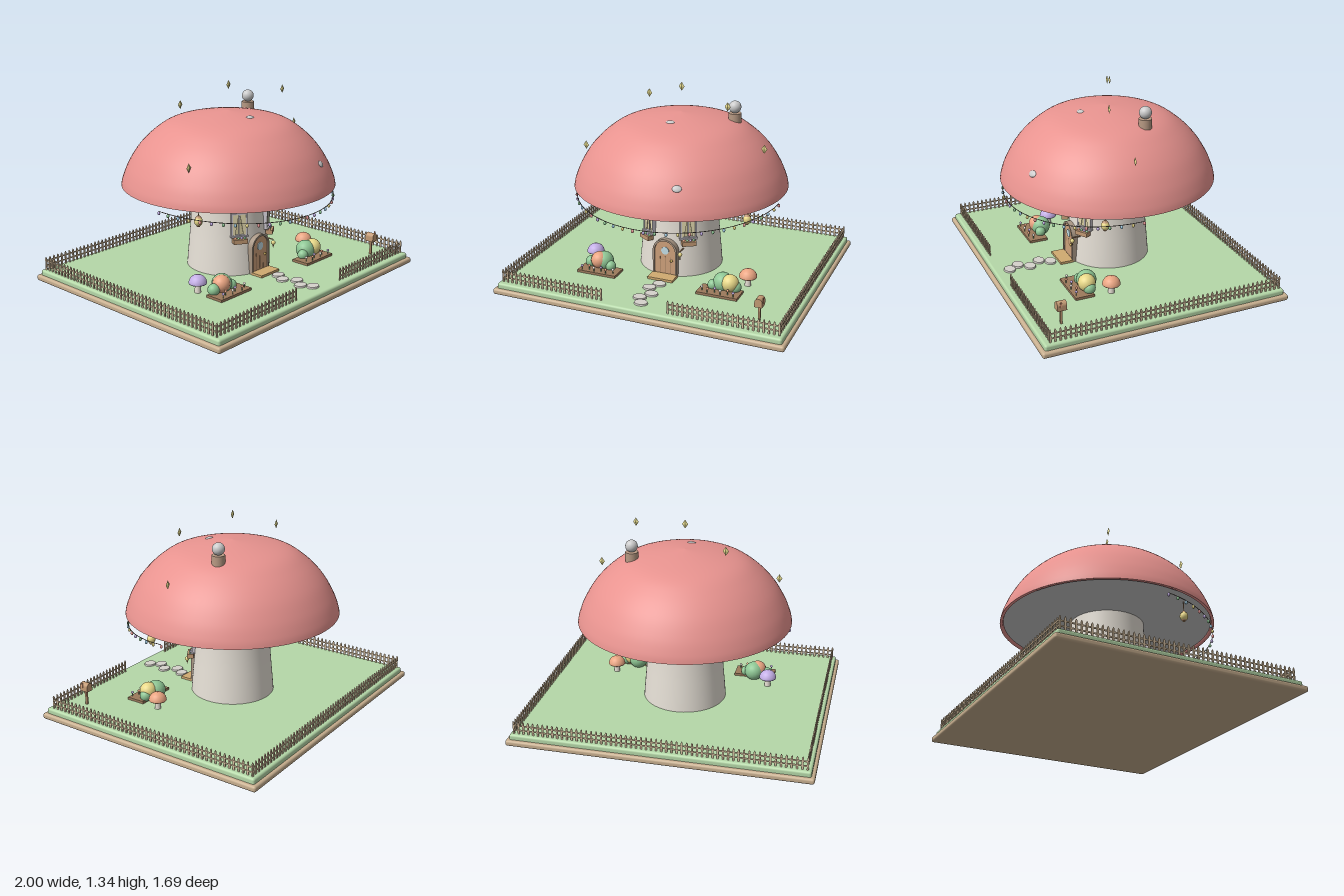
import * as THREE from 'three';
import { mergeGeometries } from 'three/addons/utils/BufferGeometryUtils.js';
import { RoundedBoxGeometry } from 'three/addons/geometries/RoundedBoxGeometry.js';

const WOOD = 0xc39a74, FENCE = 0xd8c0a0, GREEN = 0x8fc795, YELLOW = 0xe8d888, ORANGE = 0xeaa582, PURPLE = 0xc3aee6;
const GROUND = 0.075;

function mat(color = 0xcccccc, options = {}) {
  return new THREE.MeshStandardMaterial({ color, ...options });
}

function add(parent, name, geometry, color, x = 0, y = 0, z = 0, options) {
  const mesh = new THREE.Mesh(geometry, mat(color, options));
  mesh.name = name;
  mesh.position.set(x, y, z);
  parent.add(mesh);
  return mesh;
}

function group(parent, name, x = 0, y = 0, z = 0) {
  const g = new THREE.Group();
  g.name = name;
  g.position.set(x, y, z);
  parent.add(g);
  return g;
}

const box = (w, h, d) => new THREE.BoxGeometry(w, h, d);
const ball = (r, n = 20) => new THREE.SphereGeometry(r, n, Math.ceil(n * 0.7));
const cyl = (top, bottom, h, n = 20) => new THREE.CylinderGeometry(top, bottom, h, n);
const lathe = (pts, n = 64) => new THREE.LatheGeometry(pts.map(([x, y]) => new THREE.Vector2(x, y)), n);

// Arched outline standing on y = 0
function arch(halfWidth, straight) {
  const s = new THREE.Shape();
  s.moveTo(-halfWidth, 0);
  s.lineTo(halfWidth, 0);
  s.lineTo(halfWidth, straight);
  s.absarc(0, straight, halfWidth, 0, Math.PI, false);
  s.lineTo(-halfWidth, 0);
  return s;
}

const extrude = (shape, depth) => new THREE.ExtrudeGeometry(shape, { depth, bevelEnabled: false, curveSegments: 20 });

// One straight run of picket fence between two ground points
function fenceRun(parent, x0, z0, x1, z1) {
  const length = Math.hypot(x1 - x0, z1 - z0);
  const count = Math.round(length / 0.033);
  const picket = new THREE.Shape();
  picket.moveTo(-0.006, 0);
  picket.lineTo(0.006, 0);
  picket.lineTo(0.006, 0.077);
  picket.lineTo(0, 0.088);
  picket.lineTo(-0.006, 0.077);
  const parts = [];
  for (let i = 0; i <= count; i++) {
    parts.push(extrude(picket, 0.007).translate(-length / 2 + length * i / count, 0, -0.0035).toNonIndexed?.() ?? null);
  }
  for (const y of [0.028, 0.06]) parts.push(box(length, 0.009, 0.005).toNonIndexed().translate(0, y, -0.004));
  const run = add(parent, 'fenceRun', mergeGeometries(parts), FENCE, (x0 + x1) / 2, GROUND, (z0 + z1) / 2);
  run.rotation.y = -Math.atan2(z1 - z0, x1 - x0);
}

// Window with frame, curtains and planter, turned to sit on the round wall
function addWindow(parent, side) {
  const g = group(parent, 'window', 0, 0.425, 0);
  g.rotation.y = side * 0.56;
  const frame = new THREE.Shape([[-0.055, -0.08], [0.055, -0.08], [0.055, 0.08], [-0.055, 0.08]].map(p => new THREE.Vector2(...p)));
  frame.holes.push(new THREE.Path([[-0.045, -0.07], [-0.045, 0.07], [0.045, 0.07], [0.045, -0.07]].map(p => new THREE.Vector2(...p))));
  add(g, 'windowFrame', extrude(frame, 0.04), 0xcfcad2, 0, 0, 0.235);
  add(g, 'windowPane', box(0.09, 0.14, 0.012), 0xd9cfa0, 0, 0, 0.254);
  add(g, 'windowBar', box(0.006, 0.14, 0.008), 0xcfcad2, 0, 0, 0.263);
  for (const s of [-1, 1]) {
    const curtain = new THREE.Shape([[0.045, 0.07], [0.004, 0.07], [0.028, -0.07], [0.045, -0.07]].map(([x, y]) => new THREE.Vector2(s * x, y)));
    add(g, 'curtain', extrude(curtain, 0.006), 0xe9dfb4, 0, 0, 0.264);
  }
  add(g, 'windowSill', box(0.12, 0.01, 0.045), 0xcfcad2, 0, -0.08, 0.262);
  add(g, 'planter', box(0.095, 0.03, 0.045), WOOD, 0, -0.107, 0.287);
  for (let i = 0; i < 4; i++) add(g, 'planterFlower', ball(0.009, 10), [ORANGE, GREEN, PURPLE, GREEN][i], -0.033 + i * 0.022, -0.089, 0.288);
}

function toadstool(parent, x, z, r, top, color) {
  const g = group(parent, 'toadstool', x, GROUND, z);
  const h = top - GROUND;
  add(g, 'toadstoolStem', cyl(r * 0.28, r * 0.36, h - r * 0.7, 16), 0xe8e0d5, 0, (h - r * 0.7) / 2, 0);
  add(g, 'toadstoolCap', lathe([[0, 0], [0.95, 0], [1, 0.08], [0.92, 0.4], [0.71, 0.71], [0.38, 0.92], [0, 1]].map(([a, b]) => [a * r, b * r]), 28),
    color, 0, h - r, 0);
}

// Soil bed with bushes and small flowers
function flowerBed(parent, side, domeColor, domeX) {
  const g = group(parent, 'flowerBed');
  add(g, 'soil', box(0.28, 0.018, 0.13), 0x9c7a5c, side * 0.43, GROUND + 0.008, 0.4);
  for (const [x, y, z, r] of [[0.43, 0.128, 0.335, 0.066], [0.52, 0.115, 0.35, 0.04], [0.37, 0.11, 0.36, 0.036]]) {
    add(g, 'bush', ball(r), GREEN, side * x, y, z);
  }
  add(g, 'bushDome', ball(0.058, 24), domeColor, side * domeX, 0.138, 0.355);
  for (let i = 0; i < 6; i++) {
    const x = side * (0.32 + i * 0.044), z = 0.43 + (i % 2) * 0.02;
    add(g, 'flowerStem', cyl(0.003, 0.003, 0.035, 6), GREEN, x, 0.1, z);
    add(g, 'flower', ball(0.009, 10), [0xf0e8e0, ORANGE, PURPLE][i % 3], x, 0.12, z);
  }
}

export function createModel() {
  const model = new THREE.Group();
  model.name = 'mushroomHouse';

  // Ground
  add(model, 'baseSlab', new RoundedBoxGeometry(2, 0.04, 1.69, 3, 0.015), 0xc9b090, 0, 0.02, 0);
  add(model, 'lawn', new RoundedBoxGeometry(1.955, 0.05, 1.645, 3, 0.015), 0xb5d8a8, 0, 0.05, 0);

  // Fence with a gap for the path
  const fence = group(model, 'fence');
  fenceRun(fence, -0.95, 0.78, -0.23, 0.78);
  fenceRun(fence, 0.23, 0.78, 0.95, 0.78);
  fenceRun(fence, -0.95, -0.795, 0.95, -0.795);
  for (const x of [-0.95, 0.95]) fenceRun(fence, x, -0.795, x, 0.78);

  // Stem walls and cap roof
  add(model, 'stemWall', lathe([[0.285, 0.06], [0.278, 0.15], [0.266, 0.28], [0.256, 0.4], [0.25, 0.52], [0.247, 0.67]]), 0xe6e0d6);
  const profile = new THREE.SplineCurve([[0.72, 0.65], [0.708, 0.7], [0.67, 0.79], [0.6, 0.9], [0.5, 1.0], [0.38, 1.075], [0.2, 1.117], [0, 1.14]]
    .map(p => new THREE.Vector2(...p)));
  add(model, 'capRoof', new THREE.LatheGeometry(profile.getPoints(36), 80), 0xe8938f);
  add(model, 'capRim', lathe([[0.695, 0.665], [0.7, 0.65], [0.72, 0.65]], 80), 0xe8938f, 0, 0, 0, { side: THREE.DoubleSide });
  add(model, 'capUnderside', new THREE.CircleGeometry(0.705, 80).rotateX(Math.PI / 2), 0xcccccc, 0, 0.662, 0);
  for (const [x, y, z, tilt] of [[0, 1.117, 0.19, 0.15], [0.22, 0.835, 0.605, 0.95]]) {
    const spot = add(model, 'capSpot', ball(0.03).scale(1, 0.3, 0.75), 0xcccccc, x, y, z);
    spot.rotation.set(tilt, Math.atan2(x, z), 0, 'YXZ');
  }

  // Chimney with a puff of smoke
  add(model, 'chimney', cyl(0.043, 0.043, 0.1, 24), 0xb89a84, 0.33, 1.085, -0.12);
  add(model, 'smokePuff', ball(0.041, 28), 0xcccccc, 0.33, 1.175, -0.12);

  // Door
  const door = group(model, 'door', 0, GROUND, 0);
  const frame = arch(0.087, 0.175);
  frame.holes.push(arch(0.074, 0.175));
  add(door, 'doorFrame', extrude(frame, 0.07), 0xa89684, 0, 0, 0.225);
  add(door, 'doorPanel', extrude(arch(0.075, 0.175), 0.06), 0xcfa27c, 0, 0, 0.225);
  for (const x of [-0.037, 0, 0.037]) add(door, 'doorGroove', box(0.002, 0.13, 0.002), 0x9c7a5c, x, 0.07, 0.285);
  add(door, 'doorWindow', cyl(0.027, 0.027, 0.008, 28).rotateX(Math.PI / 2), 0xc4dfe8, 0, 0.18, 0.286);
  add(door, 'doorKnob', ball(0.009, 12), 0xd8b860, 0.047, 0.113, 0.29);
  add(door, 'doorStep', box(0.18, 0.016, 0.09), 0xd0aa70, 0, 0.008, 0.335);
  add(door, 'porchBracket', box(0.006, 0.006, 0.06), WOOD, 0.115, 0.2, 0.275);
  add(door, 'porchLamp', ball(0.015, 16), YELLOW, 0.115, 0.178, 0.305);
  add(door, 'porchLampDrop', cyl(0.006, 0.002, 0.026, 10), WOOD, 0.115, 0.155, 0.305);

  for (const side of [-1, 1]) addWindow(model, side);

  // Garden
  flowerBed(model, -1, ORANGE, 0.455);
  flowerBed(model, 1, YELLOW, 0.485);
  toadstool(model, -0.545, 0.235, 0.06, 0.195, PURPLE);
  toadstool(model, 0.56, 0.215, 0.06, 0.193, ORANGE);
  [[0.02, 0.43], [-0.02, 0.5], [0.03, 0.58], [-0.02, 0.65], [0.02, 0.72]].forEach(([x, z]) =>
    add(model, 'steppingStone', cyl(0.043, 0.046, 0.012, 20).scale(1, 1, 0.85), 0xd6d2cc, x, GROUND + 0.005, z));

  // Mailbox
  const mailbox = group(model, 'mailbox', 0.78, GROUND, 0.645);
  add(mailbox, 'mailboxPost', box(0.014, 0.11, 0.014), WOOD, 0, 0.055, 0);
  add(mailbox, 'mailboxBody', extrude(arch(0.025, 0.032), 0.062), WOOD, 0, 0.1, -0.031);
  add(mailbox, 'mailboxFlag', box(0.004, 0.035, 0.01), ORANGE, 0.027, 0.145, 0.01);

  // String of lights around the front of the cap
  const garland = group(model, 'stringLights');
  const at = a => new THREE.Vector3(0.706 * Math.cos(a), 0.617 - 0.05 * Math.sin(a), 0.706 * Math.sin(a));
  const path = Array.from({ length: 30 }, (_, i) => at(0.08 + (Math.PI - 0.16) * i / 29));
  add(garland, 'cord', new THREE.TubeGeometry(new THREE.CatmullRomCurve3(path), 90, 0.0025, 6), 0x6a6058);
  path.forEach((p, i) => add(garland, 'bulb', ball(0.0095, 10).scale(1, 1.3, 1), [0xe89a98, YELLOW, 0x9cc8e0, GREEN, PURPLE][i % 5], p.x, p.y - 0.013, p.z));

  // Hanging lanterns
  for (const x of [-0.557, 0.557]) {
    const lantern = group(model, 'lantern', x, 0.557, 0.257);
    add(lantern, 'lanternGlobe', ball(0.027, 20).scale(1, 1.1, 1), YELLOW);
    add(lantern, 'lanternTop', cyl(0.008, 0.02, 0.014, 16), WOOD, 0, 0.03, 0);
    add(lantern, 'lanternBottom', cyl(0.016, 0.01, 0.01, 16), WOOD, 0, -0.029, 0);
    add(lantern, 'lanternCord', cyl(0.0025, 0.0025, 0.08, 6), WOOD, 0, 0.07, 0);
  }

  // Floating sparkles
  for (const [x, y, z] of [[0, 1.31, 0], [-0.3, 1.2, -0.15], [0.375, 1.25, 0.15], [0.6, 0.975, 0.075], [-0.6, 0.9, 0.22]]) {
    add(model, 'sparkle', new THREE.OctahedronGeometry(1).scale(0.02, 0.03, 0.007), 0xe6dc90, x, y, z, { flatShading: true });
  }
  return model;
}
